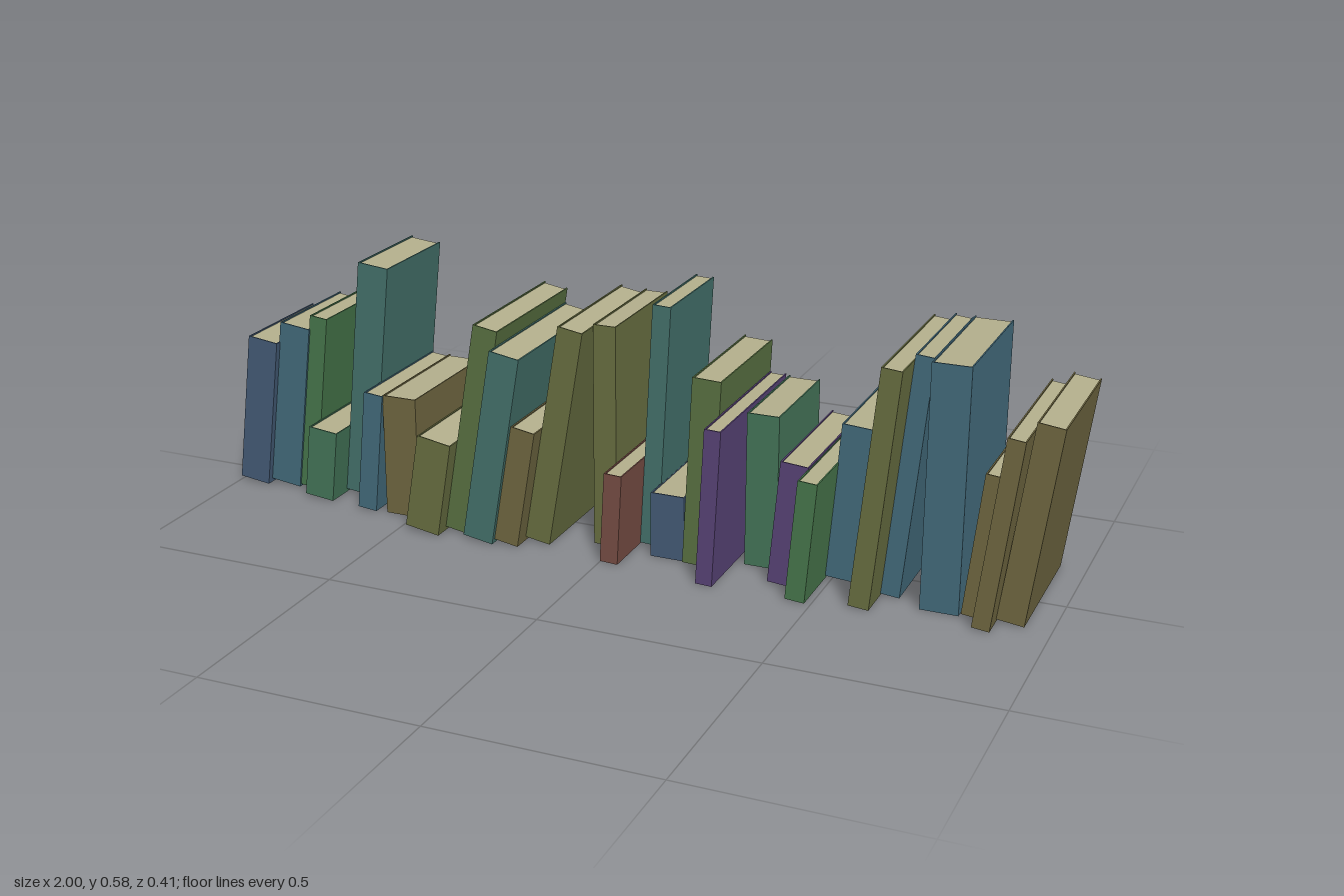
import * as THREE from 'three';

const BACK = -0.205; // every book is pushed against the same back plane
const BOARD = 0.003; // cover thickness

const material = (color) => new THREE.MeshStandardMaterial({ color });
const pageMaterial = material(0xb2ae8b);
const navy = material(0x435a75);
const blue = material(0x42697a);
const teal = material(0x43706a);
const sea = material(0x437357);
const green = material(0x46754a);
const leaf = material(0x587041);
const olive = material(0x676d40);
const brown = material(0x6e6640);
const purple = material(0x574275);
const red = material(0x754c43);

// Box given by its minimum and maximum corners
function addBox(parent, name, mat, x0, x1, y0, y1, z0, z1) {
  const mesh = new THREE.Mesh(new THREE.BoxGeometry(x1 - x0, y1 - y0, z1 - z0), mat);
  mesh.position.set((x0 + x1) / 2, (y0 + y1) / 2, (z0 + z1) / 2);
  mesh.name = name;
  parent.add(mesh);
}

// Book standing with its lower right edge at the origin, tipped to the right
function makeBook(w, top, front, cover, lean) {
  const h = (top - w * Math.sin(lean)) / Math.cos(lean);
  const book = new THREE.Group();
  book.name = 'book';

  // Two boards and a spine wrapped round a slightly recessed page block
  addBox(book, 'leftCover', cover, -w, -w + BOARD, 0, h, BACK, front - BOARD);
  addBox(book, 'rightCover', cover, -BOARD, 0, 0, h, BACK, front - BOARD);
  addBox(book, 'spine', cover, -w, 0, 0, h, front - BOARD, front);
  addBox(book, 'pages', pageMaterial, -w + BOARD, -BOARD, BOARD, h - BOARD, BACK + BOARD, front - BOARD);

  book.rotation.z = -lean;
  return book;
}

// Books packed side by side from x, each leaning leanStep more than the one before.
// Each book is [thickness, top height, front z, cover].
function makeRun(name, x, lean, leanStep, books) {
  const run = new THREE.Group();
  run.name = name;
  books.forEach(([w, top, front, cover], i) => {
    const angle = lean + i * leanStep;
    const book = makeBook(w, top, front, cover, angle);
    x += w / Math.cos(angle);
    book.position.x = x;
    run.add(book);
  });
  return run;
}

export function createModel() {
  const row = new THREE.Group();
  row.name = 'bookRow';
  row.add(
    makeRun('rightEndBooks', -1, 0.128, -0.006, [
      [0.077, 0.372, 0.08, navy],
      [0.078, 0.412, 0.065, blue],
      [0.045, 0.437, 0.06, green],
      [0.074, 0.18, 0.112, sea],
      [0.077, 0.577, 0.048, teal],
      [0.048, 0.293, 0.125, blue],
    ]),
    makeRun('uprightBrownBook', -0.572, 0, 0, [[0.085, 0.29, 0.12, brown]]),
    makeRun('steepBooks', -0.482, 0.166, 0, [
      [0.084, 0.237, 0.195, olive],
      [0.06, 0.505, 0.16, leaf],
      [0.073, 0.46, 0.19, teal],
      [0.058, 0.287, 0.18, brown],
      [0.06, 0.52, 0.14, olive],
    ]),
    makeRun('uprightOliveBook', -0.054, 0, 0, [[0.054, 0.518, 0.09, olive]]),
    makeRun('middleBooks', 0, 0.049, 0, [
      [0.042, 0.212, 0.18, red],
      [0.043, 0.567, 0.05, teal],
    ]),
    makeRun('uprightNavyBook', 0.09, 0, 0, [[0.08, 0.152, 0.105, navy]]),
    makeRun('slightlyTippedBooks', 0.17, 0.045, 0, [
      [0.067, 0.438, 0.115, leaf],
      [0.038, 0.36, 0.205, purple],
    ]),
    makeRun('uprightGreenBook', 0.298, 0, 0, [[0.074, 0.356, 0.065, sea]]),
    makeRun('lowBooks', 0.378, 0.085, -0.006, [
      [0.063, 0.287, 0.14, purple],
      [0.044, 0.277, 0.205, green],
      [0.088, 0.363, 0.065, blue],
    ]),
    makeRun('tallBooks', 0.575, 0.095, 0, [
      [0.046, 0.542, 0.185, olive],
      [0.042, 0.55, 0.1, blue],
    ]),
    makeRun('uprightBlueBook', 0.717, 0, 0, [[0.085, 0.55, 0.135, blue]]),
    makeRun('leftEndBooks', 0.805, 0.108, 0.01, [
      [0.036, 0.325, 0.13, brown],
      [0.039, 0.43, 0.185, brown],
      [0.06, 0.452, 0.133, brown],
    ]),
  );
  return row;
}
